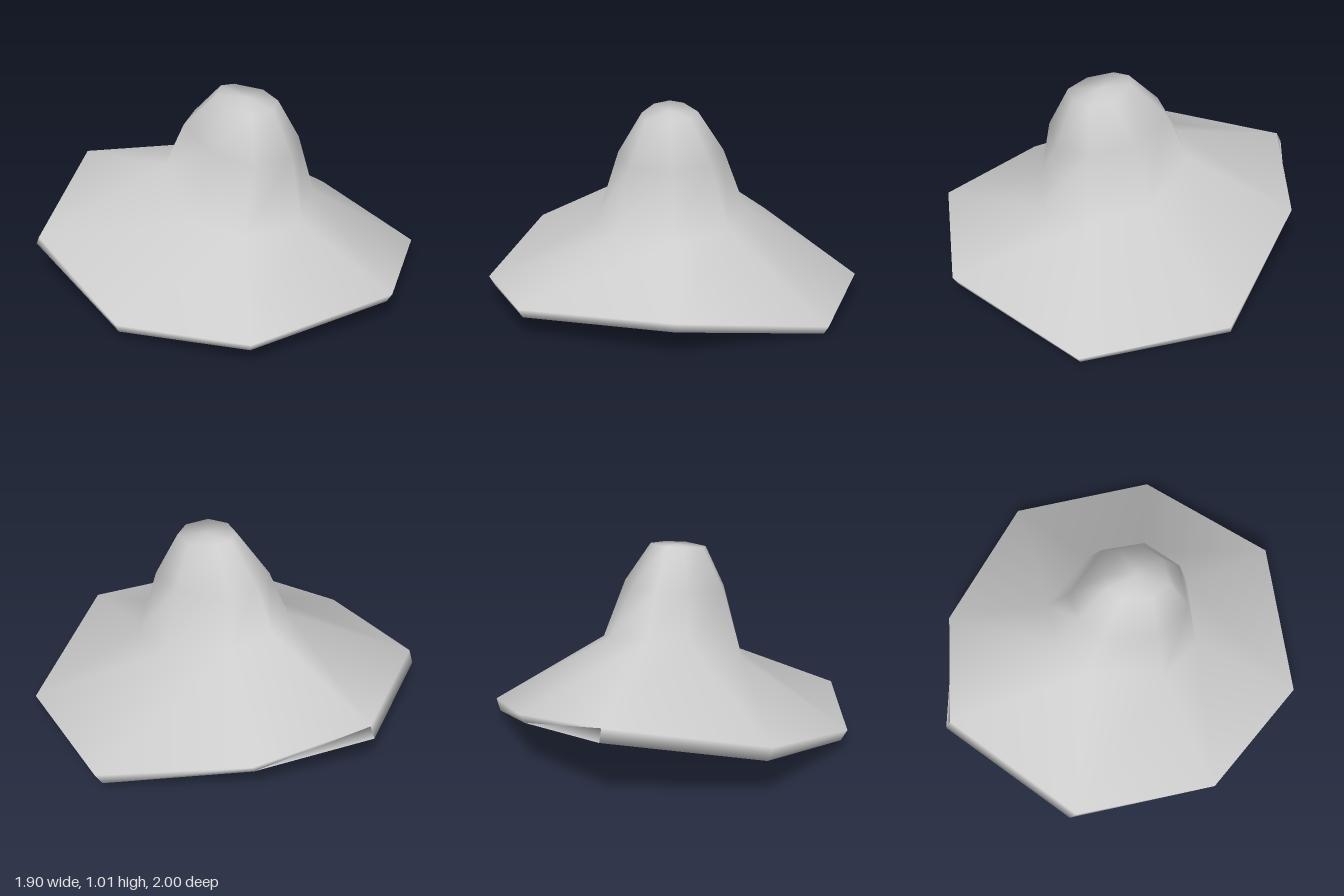
import * as THREE from 'three';

// Eight-sided rings, each running from the front (+z) round by +x, the back and -x.
const RINGS = [
  // shallow hollow under the brim
  [[0, 0.24, 0.48], [0.36, 0.19, 0.33], [0.46, 0.2, -0.02], [0.26, 0.3, -0.34],
    [-0.01, 0.34, -0.5], [-0.36, 0.29, -0.34], [-0.46, 0.22, 0.02], [-0.36, 0.23, 0.33]],
  // lower edge of the brim
  [[0, 0.11, 0.97], [0.71, 0, 0.67], [0.92, 0.03, -0.05], [0.5, 0.24, -0.68],
    [-0.01, 0.32, -1], [-0.72, 0.2, -0.69], [-0.925, 0.05, 0.04], [-0.72, 0.085, 0.67]],
  // upper edge of the brim
  [[0, 0.16, 1], [0.73, 0.04, 0.69], [0.95, 0.09, -0.03], [0.52, 0.285, -0.69],
    [-0.01, 0.38, -0.97], [-0.735, 0.255, -0.655], [-0.955, 0.105, 0.05], [-0.74, 0.13, 0.69]],
  // foot of the crown
  [[-0.01, 0.38, 0.47], [0.27, 0.42, 0.35], [0.365, 0.47, 0.08], [0.21, 0.575, -0.25],
    [-0.01, 0.6, -0.32], [-0.21, 0.575, -0.25], [-0.39, 0.42, 0.08], [-0.31, 0.39, 0.33]],
  // shoulder of the crown
  [[-0.01, 0.73, 0.4], [0.18, 0.75, 0.31], [0.25, 0.78, 0.1], [0.12, 0.81, -0.17],
    [-0.02, 0.83, -0.2], [-0.16, 0.81, -0.16], [-0.28, 0.77, 0.1], [-0.22, 0.735, 0.32]],
  // rim of the flat top
  [[-0.02, 0.96, 0.29], [0.08, 0.965, 0.25], [0.12, 0.98, 0.13], [0.05, 1.003, 0],
    [-0.02, 1.01, -0.03], [-0.1, 1, 0.01], [-0.16, 0.975, 0.13], [-0.14, 0.955, 0.25]],
];

// Joins the rings with quads and closes both ends with fans.
function loft(rings, bottomCentre, topCentre) {
  const n = rings[0].length;
  const points = [...rings.flat(), bottomCentre, topCentre];
  const bottom = rings.length * n;
  const top = bottom + 1;
  const last = (rings.length - 1) * n;
  const index = [];
  for (let i = 0; i < n; i++) {
    const j = (i + 1) % n;
    for (let r = 0; r < rings.length - 1; r++) {
      const a = r * n + i, b = r * n + j;
      index.push(a, b, b + n, a, b + n, a + n);
    }
    index.push(bottom, j, i, top, last + i, last + j);
  }
  const geometry = new THREE.BufferGeometry();
  geometry.setAttribute('position', new THREE.Float32BufferAttribute(points.flat(), 3));
  geometry.setIndex(index);
  geometry.computeVertexNormals();
  return geometry;
}

export function createModel() {
  const group = new THREE.Group();
  group.name = 'hat';
  const felt = new THREE.MeshStandardMaterial({ color: 0xcccccc });
  felt.name = 'grey felt';

  // Brim and crown form one smooth closed skin
  const hat = new THREE.Mesh(loft(RINGS, [0, 0.31, 0], [-0.02, 0.985, 0.13]), felt);
  hat.name = 'brimAndCrown';
  group.add(hat);
  return group;
}
